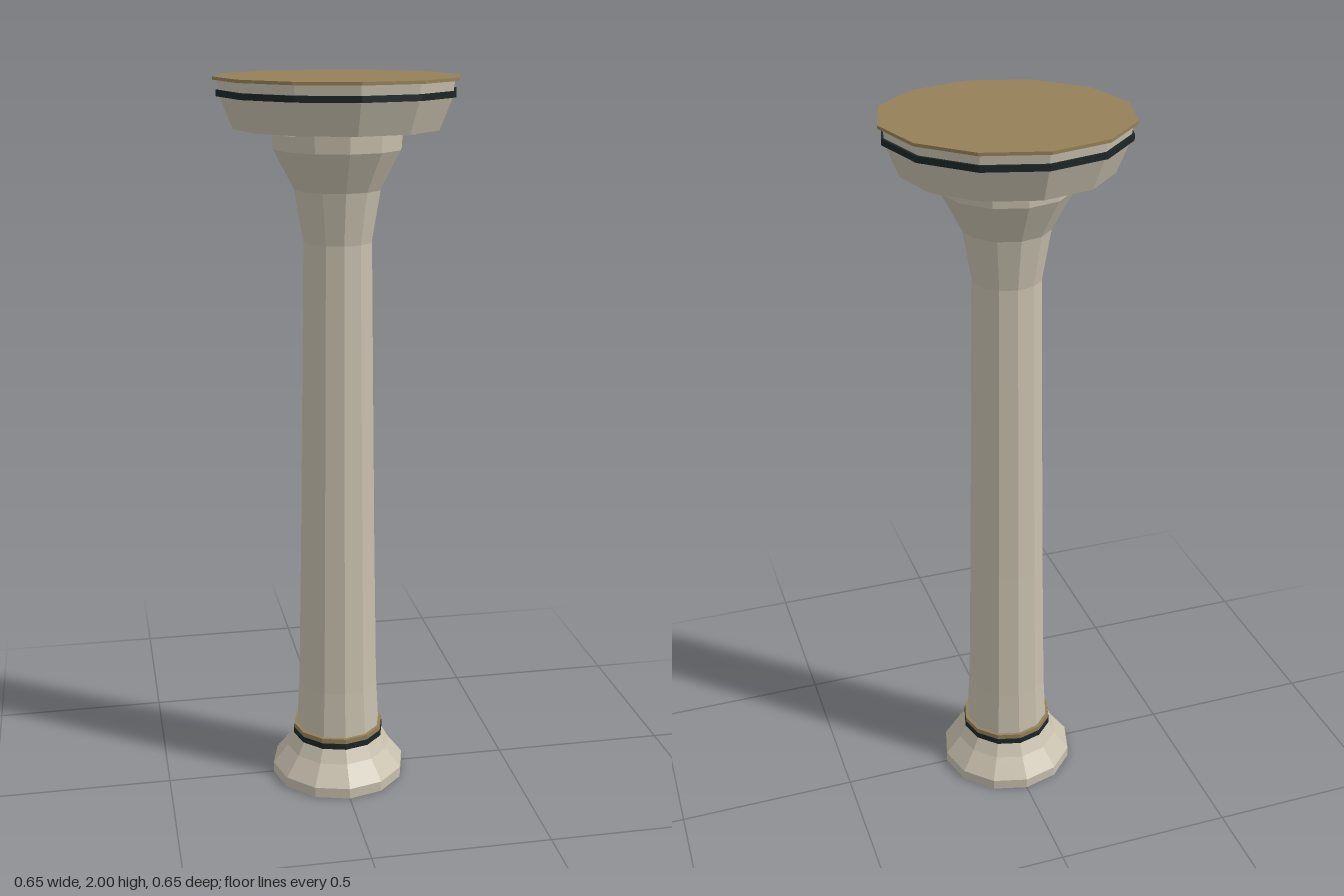
import * as THREE from 'three';

const SIDES = 12;

function material(name, color) {
  const m = new THREE.MeshStandardMaterial({ color, flatShading: true });
  m.name = name;
  return m;
}

export function createModel() {
  const stone = material('stone', 0xc8c0ae);
  const gold = material('agedGold', 0x958058);
  const dark = material('darkInlay', 0x1c2628);
  const column = new THREE.Group();
  column.name = 'column';

  const add = (name, geometry, mat) => {
    const mesh = new THREE.Mesh(geometry, mat);
    mesh.name = name;
    column.add(mesh);
    return mesh;
  };
  // Twelve-sided turned part; the profile runs [radius, height] from bottom to top
  const turned = (name, profile, mat) => add(name,
    new THREE.LatheGeometry(profile.map(([r, y]) => new THREE.Vector2(r, y)), SIDES), mat);
  // Closed ring or disc between two heights
  const disc = (name, r, y0, y1, mat) =>
    turned(name, [[0, y0], [r, y0], [r, y1], [0, y1]], mat);

  // Foot
  turned('base', [[0, 0], [0.193, 0], [0.193, 0.03], [0.15, 0.085], [0.128, 0.125], [0, 0.125]], stone);
  disc('baseDarkBand', 0.132, 0.123, 0.14, dark);
  disc('baseGoldBand', 0.13, 0.14, 0.154, gold);

  // Tapering shaft
  turned('shaft', [[0.121, 0.154], [0.114, 0.29], [0.106, 0.7], [0.1, 1.1], [0.093, 1.58]], stone);

  // Flared neck
  turned('neck', [[0.093, 1.57], [0.117, 1.71], [0.172, 1.815], [0.174, 1.87]], stone);

  // Capital with its inlaid band and top plate
  turned('capital', [[0, 1.868], [0.275, 1.868], [0.308, 1.95], [0.313, 1.992], [0, 1.992]], stone);
  disc('capitalDarkBand', 0.317, 1.951, 1.967, dark);
  disc('topPlate', 0.325, 1.992, 2, gold);

  // Four small studs under the capital
  for (let i = 0; i < 4; i++) {
    const a = Math.PI / 4 + i * Math.PI / 2;
    const stud = add('stud', new THREE.CylinderGeometry(0.022, 0.022, 0.008, 8), stone);
    stud.position.set(0.215 * Math.cos(a), 1.866, 0.215 * Math.sin(a));
  }
  return column;
}
